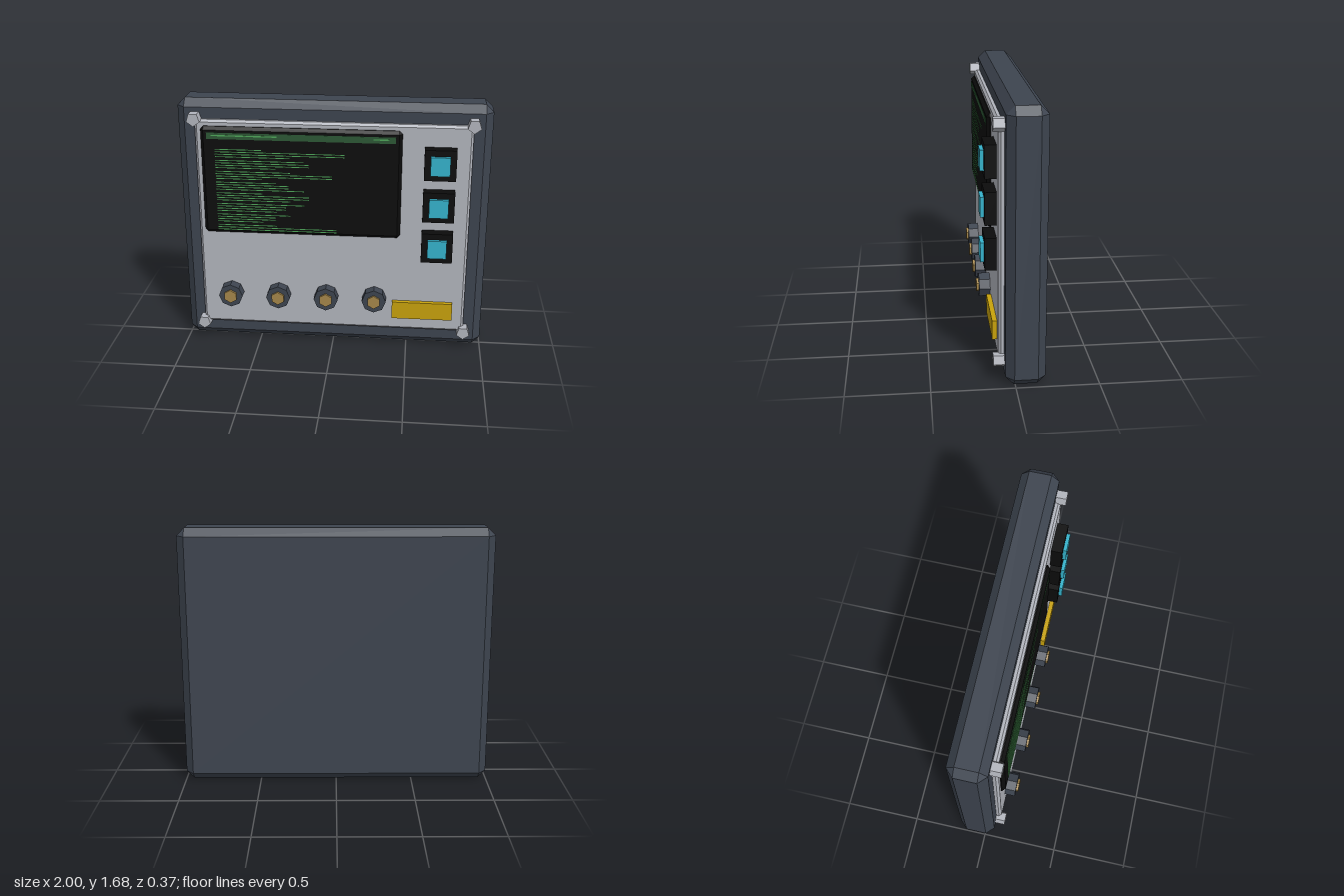
import * as THREE from 'three';
import { ConvexGeometry } from 'three/addons/geometries/ConvexGeometry.js';

const mat = (name, color, flatShading = false) => {
  const m = new THREE.MeshStandardMaterial({ color, flatShading });
  m.name = name;
  return m;
};

// Box between two corners with every edge and corner cut at 45 degrees
function chamferBox(w, h, d, b) {
  const pts = [];
  for (const x of [-w / 2, w / 2]) for (const y of [-h / 2, h / 2]) for (const z of [-d / 2, d / 2]) {
    const [bx, by, bz] = [x, y, z].map((v) => Math.sign(v) * b);
    pts.push(
      new THREE.Vector3(x, y - by, z - bz),
      new THREE.Vector3(x - bx, y, z - bz),
      new THREE.Vector3(x - bx, y - by, z)
    );
  }
  return new ConvexGeometry(pts);
}

export function createModel() {
  const group = new THREE.Group();
  group.name = 'controlPanel';

  const casing = mat('casing', 0x3d444f, true);
  const metal = mat('metal', 0xb2b5bd, true);
  const black = mat('black', 0x0c0c0c);
  const cyan = mat('cyan', 0x35b3cc);
  const brass = mat('brass', 0xa5874a, true);
  const yellow = mat('yellow', 0xc8a20c);
  const darkGreen = mat('darkGreen', 0x2c5735);
  const green = mat('green', 0x4fa85a);

  const add = (name, geometry, material, x, y, z) => {
    const mesh = new THREE.Mesh(geometry, material);
    mesh.name = name;
    mesh.position.set(x, y, z);
    group.add(mesh);
    return mesh;
  };
  const box = (w, h, d) => new THREE.BoxGeometry(w, h, d);
  // Prism with its axis towards the front
  const prism = (r, depth, sides) => new THREE.CylinderGeometry(r, r, depth, sides).rotateX(Math.PI / 2);

  // Housing and face plate
  add('housing', chamferBox(2, 1.68, 0.24, 0.05), casing, 0, 0.84, -0.062);
  add('facePlate', chamferBox(1.76, 1.43, 0.05, 0.015), metal, 0, 0.843, 0.067);

  // Corner screws
  for (const x of [-0.88, 0.88]) for (const y of [0.13, 1.565]) {
    add('cornerScrew', prism(0.045, 0.07, 5), metal, x, y, 0.09);
  }

  // Screen with its header strip
  add('screen', chamferBox(1.28, 0.72, 0.05, 0.02), black, -0.2, 1.16, 0.094);
  add('screenHeader', box(1.2, 0.042, 0.003), darkGreen, -0.2, 1.463, 0.1195);
  add('headerMarkLeft', box(0.42, 0.008, 0.002), green, -0.56, 1.466, 0.1215);
  add('headerMarkRight', box(0.1, 0.008, 0.002), green, 0.31, 1.466, 0.1215);

  // Readout lines: every third row is a long double line
  const longRows = [0.83, 0.6, 0.75, 0.47, 0.6, 0.45, 0.385, 0.78];
  for (let i = 0; i < 23; i++) {
    const y = 1.375 - i * 0.0245;
    const main = i % 3 === 1;
    const length = main ? longRows[(i - 1) / 3] : 0.3 + 0.09 * ((i * 5) % 4);
    for (const dy of main ? [-0.008, 0.008] : [0]) {
      add('readoutLine', box(length, 0.005, 0.002), green, -0.75 + length / 2, y + dy, 0.1195);
    }
  }

  // Push buttons
  for (const y of [1.32, 1.04, 0.76]) {
    add('buttonBase', box(0.2, 0.2, 0.08), black, 0.68, y, 0.122);
    add('buttonCap', box(0.122, 0.122, 0.03), cyan, 0.68, y, 0.17);
  }

  // Knobs
  for (const x of [-0.68, -0.36, -0.04, 0.28]) {
    add('knob', prism(0.08, 0.08, 8), casing, x, 0.36, 0.122);
    add('knobCap', prism(0.046, 0.03, 6), brass, x, 0.36, 0.162);
  }

  // Label plate
  add('labelPlate', box(0.4, 0.12, 0.04), yellow, 0.6, 0.283, 0.102);

  return group;
}
